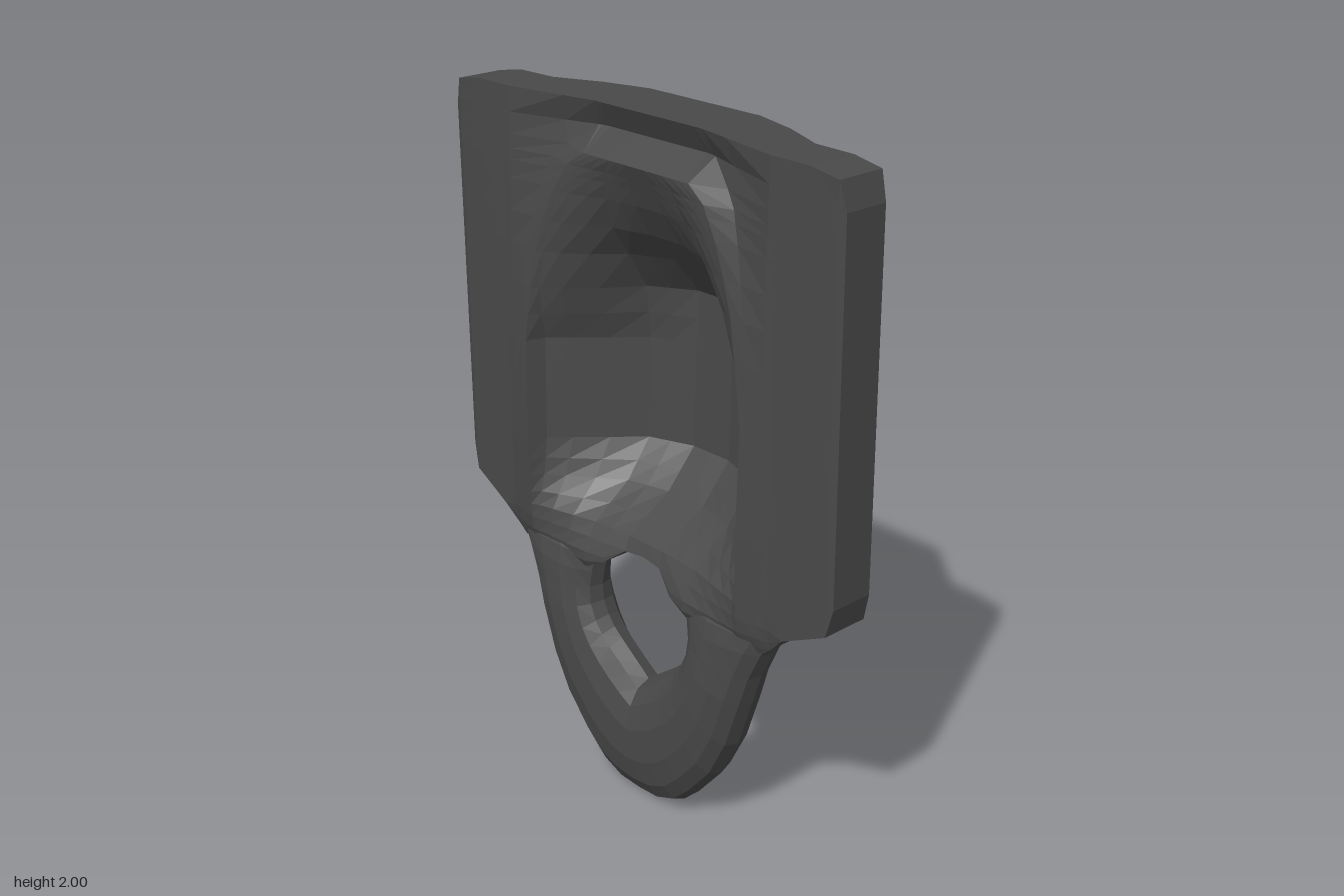
import * as THREE from 'three';

const material = new THREE.MeshStandardMaterial({ color: 0x494949, flatShading: true });

// Piecewise-linear lookup through [input, output] pairs
function curve(pairs) {
  return (t) => {
    if (t <= pairs[0][0]) return pairs[0][1];
    for (let i = 1; i < pairs.length; i++) {
      const [a, va] = pairs[i - 1], [b, vb] = pairs[i];
      if (t <= b) return va + (vb - va) * (t - a) / (b - a);
    }
    return pairs[pairs.length - 1][1];
  };
}

function makeMesh(name, positions, indices) {
  const g = new THREE.BufferGeometry();
  g.setAttribute('position', new THREE.Float32BufferAttribute(positions, 3));
  g.setIndex(indices);
  g.computeVertexNormals();
  const mesh = new THREE.Mesh(g, material);
  mesh.name = name;
  return mesh;
}

// Outline of the plate
const bottomEdge = curve([[0.06, 0.765], [0.14, 0.705], [0.205, 0.67], [0.49, 0.67], [0.52, 0.695], [0.57, 0.745], [0.71, 0.81], [0.73, 0.89]]);
const topEdge = curve([[0.62, 2], [0.71, 1.985], [0.73, 1.91]]);

// Rear bulge: profile across, and its depth up the height
const bulgeAcross = curve([[0.205, -0.26], [0.35, -0.14], [0.49, 0.04], [0.73, 0.07]]);
const bulgeUp = curve([[0.66, 0.09], [0.74, 0.05], [0.8, -0.02], [0.89, -0.17], [1, -0.26], [1.8, -0.26], [1.92, -0.17], [2, -0.04]]);
const backZ = (x, y) => 0.07 + (bulgeAcross(x) - 0.07) * (0.07 - bulgeUp(y)) / 0.33;

// Front face: swollen plate, dipping towards the top middle around an arched ridge
const swell = curve([[0.66, 0.03], [1, 0.035], [1.5, 0.02], [1.88, 0.005], [2, 0]]);
const swellAcross = curve([[0.42, 1], [0.52, 0.4], [0.7, 0]]);
const dipAcross = curve([[0.2, 0.055], [0.49, 0]]);
const dipUp = curve([[1.5, 0], [1.75, 1], [1.93, 1.7], [2, 1]]);

// Recess: arch outline, depth up the height, and profile across
const recessHalfWidth = curve([[0.9, 0.42], [1.3, 0.425], [1.46, 0.4], [1.57, 0.38], [1.66, 0.35], [1.75, 0.31], [1.83, 0.26], [1.87, 0.2], [1.93, 0.22], [2, 0.2]]);
const recessDepth = curve([[0.7, 0], [0.8, 0.07], [0.89, 0.22], [1, 0.32], [1.46, 0.32], [1.57, 0.22], [1.66, 0.12], [1.75, 0.06], [1.83, 0.02], [1.87, 0]]);
const recessAcross = curve([[0.07, 1], [0.205, 0.85], [0.4, 0.17], [0.42, 0]]);
const shoulder = curve([[1.3, 1], [1.5, 1.8]]);

// The lower rim, where the loop grows out, is rounded off
const rounding = curve([[0.5, 0.3], [0.57, 0]]);
function roundBelow(z, x, y) {
  const nearEdge = THREE.MathUtils.clamp(1 - (y - bottomEdge(x)) / 0.09, 0, 1);
  return THREE.MathUtils.lerp(z, 0.165, rounding(x) * nearEdge * nearEdge);
}

const fitHeight = (x, row) => Math.min(topEdge(x), Math.max(bottomEdge(x), row));

function frontPoint(c, row) {
  const a = Math.abs(c);
  // columns near the middle follow the arch of the recess
  const w = recessHalfWidth(row);
  const x = a <= 0.42 ? a * w / 0.42 : a < 0.49 ? w + (0.49 - w) * (a - 0.42) / 0.07 : a;
  const y = fitHeight(x, row);
  const dip = dipAcross(x) * dipUp(row) * (a <= 0.42 && row < 1.9 ? 0.2 : 1);
  const plate = 0.213 + swell(y) * swellAcross(x) - dip - (a > 0.72 ? 0.006 : 0);
  const depth = recessDepth(y) * recessAcross(a) ** shoulder(y);
  return [Math.sign(c) * x, y, roundBelow(plate - depth, x, y)];
}

function backPoint(c, row) {
  const a = Math.abs(c), y = fitHeight(a, row);
  return [c, y, roundBelow(backZ(a, y) + (a > 0.72 ? 0.005 : 0), a, y)];
}

function plateBody() {
  const half = [0.07, 0.14, 0.205, 0.28, 0.35, 0.4, 0.42, 0.445, 0.49, 0.52, 0.57, 0.62, 0.71, 0.73];
  const cols = [...half.map((x) => -x).reverse(), 0, ...half];
  const rows = [0.66, 0.69, 0.72, 0.76, 0.8, 0.84, 0.89, 0.94, 1, 1.15, 1.3, 1.38, 1.46, 1.57, 1.66, 1.75, 1.8, 1.83, 1.87, 1.93, 2];
  const n = cols.length, m = rows.length, N = n * m;
  const positions = [], indices = [];
  for (const point of [frontPoint, backPoint])
    for (const r of rows) for (const c of cols) positions.push(...point(c, r));
  for (let j = 0; j < m - 1; j++) for (let i = 0; i < n - 1; i++) {
    const a = j * n + i, b = a + 1, d = a + n, c = d + 1;
    // diagonals mirror about the centre line
    const quad = cols[i] < 0 ? [a, b, c, a, c, d] : [a, b, d, b, c, d];
    indices.push(...quad, ...quad.map((k) => N + k).reverse());
  }
  // rim joining front and back
  const rim = [];
  for (let i = 0; i < n - 1; i++) rim.push(i);
  for (let j = 0; j < m - 1; j++) rim.push(j * n + n - 1);
  for (let i = n - 1; i > 0; i--) rim.push((m - 1) * n + i);
  for (let j = m - 1; j > 0; j--) rim.push(j * n);
  rim.forEach((p, k) => {
    const q = rim[(k + 1) % rim.length];
    indices.push(p, p + N, q + N, p, q + N, q);
  });
  return makeMesh('hollowPlate', positions, indices);
}

// Hanging loop: rounded sections between the hole and the outer outline
function loop() {
  // inner x, inner y, outer x, outer y, half thickness
  const right = [
    [0, 0.37, 0, 0.005, 0.09], [0.04, 0.4, 0.08, 0.008, 0.09], [0.08, 0.43, 0.15, 0.035, 0.09],
    [0.115, 0.455, 0.21, 0.09, 0.09], [0.145, 0.48, 0.3, 0.195, 0.09], [0.17, 0.51, 0.365, 0.32, 0.09],
    [0.19, 0.55, 0.42, 0.48, 0.088], [0.195, 0.6, 0.45, 0.57, 0.082], [0.185, 0.65, 0.495, 0.66, 0.076],
    [0.17, 0.7, 0.53, 0.71, 0.065], [0.17, 0.77, 0.53, 0.79, 0.02],
  ];
  const left = right.slice(1).reverse().map(([a, b, c, d, t]) => [-a, b, -c, d, t]);
  const stations = [...left, ...right];
  const sides = 14, positions = [], indices = [];
  const soften = (v) => Math.sign(v) * Math.abs(v) ** 0.9;
  for (const [ix, iy, ox, oy, t] of stations)
    for (let k = 0; k < sides; k++) {
      const angle = k / sides * Math.PI * 2;
      const c = soften(Math.cos(angle)) / 2, s = soften(Math.sin(angle));
      positions.push((ix + ox) / 2 + (ox - ix) * c, (iy + oy) / 2 + (oy - iy) * c, 0.172 + t * s);
    }
  for (let i = 0; i < stations.length - 1; i++) for (let k = 0; k < sides; k++) {
    const a = i * sides + k, d = i * sides + (k + 1) % sides;
    indices.push(a, a + sides, d + sides, a, d + sides, d);
  }
  return makeMesh('hangingLoop', positions, indices);
}

export function createModel() {
  const group = new THREE.Group();
  group.name = 'hangerPlate';
  group.add(plateBody(), loop());
  return group;
}
